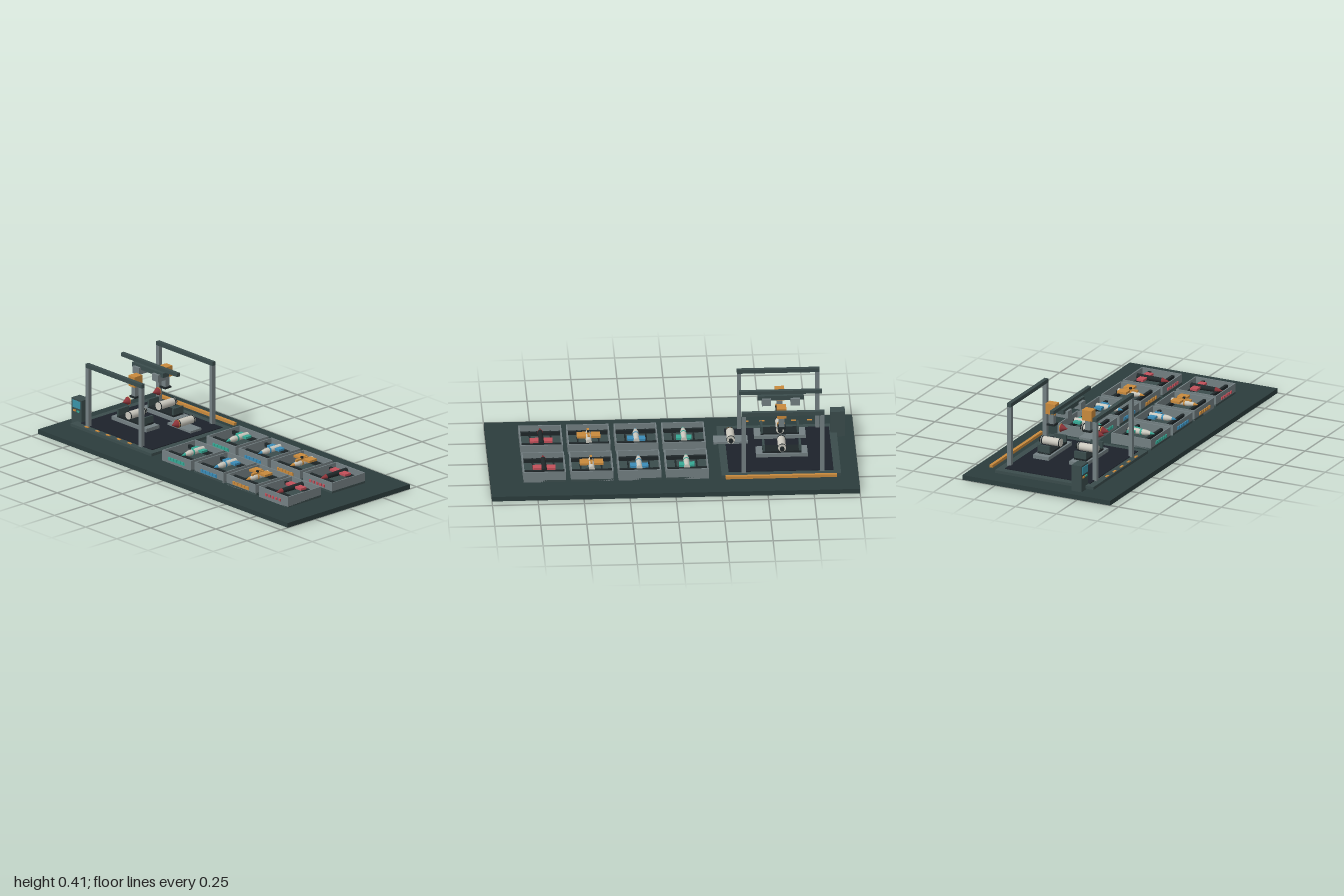
import * as THREE from 'three';

const mat = (color) => new THREE.MeshStandardMaterial({ color });
const M = {
  base: mat(0x2c3d3d), frame: mat(0x3a4c4c), floor: mat(0x1d222b), dark: mat(0x1f2729),
  grey: mat(0x737f82), ivory: mat(0xcac8be), orange: mat(0xc98a3c), red: mat(0x8c3338),
  teal: mat(0x36a894), blue: mat(0x3a8cb8), pink: mat(0xc2505a), screen: mat(0x3a93a8),
};

// Box given by its size and centre
function box(parent, name, m, w, h, d, x, y, z) {
  const b = new THREE.Mesh(new THREE.BoxGeometry(w, h, d), m);
  b.name = name;
  b.position.set(x, y, z);
  parent.add(b);
  return b;
}

// Round part lying along z, from z0 (radius r0) to z1 (radius r1)
function round(parent, name, m, r0, r1, z0, z1, x = 0, y = 0) {
  const g = new THREE.CylinderGeometry(r1, r0, z1 - z0, 20);
  g.rotateX(Math.PI / 2);
  const c = new THREE.Mesh(g, m);
  c.name = name;
  c.position.set(x, y, (z0 + z1) / 2);
  parent.add(c);
  return c;
}

function group(parent, name, x, y, z) {
  const g = new THREE.Group();
  g.name = name;
  g.position.set(x, y, z);
  parent.add(g);
  return g;
}

// Cylinder body with end bands and a small tail cap
function capsuleBody(parent, x, y, z) {
  const g = group(parent, 'cylinderBody', x, y, z);
  round(g, 'body', M.ivory, 0.022, 0.022, -0.062, 0.054);
  round(g, 'frontBand', M.dark, 0.0235, 0.0235, 0.046, 0.051);
  round(g, 'rearBand', M.dark, 0.0235, 0.0235, -0.058, -0.053);
  round(g, 'tailCap', M.dark, 0.013, 0.011, -0.076, -0.062);
  return g;
}

function noseCone(parent, x, y, z) {
  const g = group(parent, 'noseCone', x, y, z);
  round(g, 'cone', M.red, 0.022, 0.0005, 0.055, 0.094);
  round(g, 'coneRing', M.orange, 0.0225, 0.0225, 0.051, 0.055);
}

// Open parts tray with cross bars, a small tool and a front label
function tray(parent, x, z, color, kind) {
  const g = group(parent, 'partsTray', x, 0.027, z);
  const w = 0.232, d = 0.244, h = 0.06, t = 0.007;
  box(g, 'trayFloor', M.frame, w, 0.012, d, 0, 0.006, 0);
  for (const s of [-1, 1]) {
    box(g, 'traySideWall', M.grey, t, h, d, s * (w - t) / 2, h / 2, 0);
    box(g, 'trayEndWall', M.grey, w - 2 * t, h, t, 0, h / 2, s * (d - t) / 2);
    box(g, 'crossBar', M.dark, w - 2 * t, 0.02, 0.016, 0, 0.036, s * 0.07);
    box(g, 'longRail', M.dark, 0.008, 0.014, d - 2 * t, s * 0.057, 0.022, 0);
  }
  // tool lying in the tray
  const tool = group(g, 'trayTool', 0, 0.05, 0);
  if (kind === 3) {
    round(tool, 'toolBody', M.dark, 0.016, 0.013, -0.09, 0.06);
    round(tool, 'toolTip', M.red, 0.015, 0.0005, 0.06, 0.105);
  } else {
    round(tool, 'toolBody', M.ivory, 0.016, 0.016, -0.075, 0.03);
    round(tool, 'toolNeck', M.ivory, 0.016, 0.009, 0.03, 0.06);
    round(tool, 'toolTip', color, 0.01, 0.001, 0.06, 0.085);
    round(tool, 'toolBand', color, 0.017, 0.017, 0.0, 0.01);
  }
  const wing = [0.028, 0.035, 0.05, 0.048][kind];
  for (const s of [-1, 1])
    box(tool, 'toolWing', color, wing, 0.012, kind === 2 ? 0.056 : 0.042,
      s * (0.014 + wing / 2), kind === 2 ? 0.018 : 0.002, kind === 2 ? -0.024 : -0.045);
  if (kind === 2) {
    box(tool, 'toolSpine', M.orange, 0.012, 0.012, 0.09, 0, 0.018, 0.0);
    box(tool, 'toolKnob', M.dark, 0.012, 0.012, 0.012, 0, 0.027, 0);
  }
  // label strip and indicator dots
  if (kind < 3) box(g, 'labelStrip', color, 0.13, 0.018, 0.004, 0, 0.025, d / 2 + 0.001);
  for (let i = -2; i <= 2; i++)
    box(g, 'labelDot', color, 0.014, 0.014, 0.008, i * 0.027, 0.029, d / 2 + 0.003);
}

export function createModel() {
  const model = new THREE.Group();
  model.name = 'assemblyStation';
  box(model, 'basePlate', M.base, 2, 0.027, 0.9, 0, 0.0135, 0);

  // Work cell floor and frame
  const cx = -0.58;
  const cell = group(model, 'workCell', cx, 0, 0);
  box(cell, 'cellFloor', M.floor, 0.57, 0.016, 0.52, 0, 0.046, 0);
  for (const s of [-1, 1]) {
    box(cell, 'frameSide', M.frame, 0.045, 0.016, 0.6, s * 0.302, 0.042, 0);
    box(cell, 'frameEnd', M.frame, 0.56, 0.016, 0.045, 0, 0.042, s * 0.277);
  }
  box(cell, 'rearOrangeRail', M.orange, 0.605, 0.016, 0.018, 0.002, 0.058, -0.336);
  for (let i = -2; i <= 2; i++)
    box(cell, 'frontMarker', M.orange, 0.027, 0.004, 0.012, -0.01 + i * 0.086, 0.07, 0.311);

  // Gantry portals front and back
  const hx = -0.59;
  for (const s of [-1, 1]) {
    const portal = group(model, 'gantryPortal', hx, 0, s * 0.261);
    box(portal, 'portalBeam', M.frame, 0.45, 0.022, 0.023, 0, 0.401, 0);
    for (const p of [-1, 1])
      box(portal, 'portalPost', M.grey, 0.023, 0.35, 0.023, p * 0.213, 0.215, 0);
  }

  // Central overhead rail with its carriage
  const rail = group(model, 'overheadRail', hx, 0, 0);
  box(rail, 'railBeam', M.frame, 0.45, 0.02, 0.022, 0, 0.401, 0);
  box(rail, 'carriage', M.frame, 0.25, 0.026, 0.044, 0, 0.374, 0);
  for (const p of [-1, 1])
    box(rail, 'carriageBlock', M.grey, 0.05, 0.04, 0.074, p * 0.078, 0.354, 0);

  // Two stations: tool head above, cradle with cylinder below
  for (const s of [-1, 1]) {
    const z = s * 0.111;
    const head = group(model, 'toolHead', hx, 0, z);
    box(head, 'headMotor', M.orange, 0.05, 0.06, 0.058, 0, 0.337, 0);
    box(head, 'headColumn', M.grey, 0.03, 0.058, 0.03, 0, 0.279, 0);
    box(head, 'headPlate', M.dark, 0.045, 0.01, 0.046, 0, 0.245, 0);
    noseCone(model, hx, 0.232, z);

    const cradle = group(model, 'cradle', hx, 0, z);
    box(cradle, 'cradlePlate', M.grey, 0.28, 0.02, 0.096, 0, 0.095, 0);
    box(cradle, 'cradleBed', M.dark, 0.21, 0.011, 0.074, 0, 0.11, 0);
    for (const p of [-1, 1])
      box(cradle, 'cradleJaw', M.frame, 0.012, 0.045, 0.074, p * 0.099, 0.131, 0);
    capsuleBody(model, hx, 0.145, z);
  }

  // Transfer plate carrying a finished piece
  box(model, 'transferPlate', M.grey, 0.187, 0.012, 0.08, -0.317, 0.117, 0);
  capsuleBody(model, -0.317, 0.145, 0);
  noseCone(model, -0.317, 0.145, 0);

  // Control cabinet
  const cab = group(model, 'controlCabinet', -0.91, 0, 0.22);
  box(cab, 'cabinet', M.frame, 0.08, 0.149, 0.06, 0, 0.1015, 0);
  box(cab, 'cabinetScreen', M.screen, 0.062, 0.042, 0.004, 0, 0.146, 0.031);
  for (const p of [-1, 1])
    box(cab, 'cabinetButton', p < 0 ? M.orange : M.teal, 0.02, 0.01, 0.006, p * 0.015, 0.108, 0.031);

  // Two rows of parts trays
  [M.teal, M.blue, M.orange, M.pink].forEach((color, i) => {
    for (const s of [-1, 1]) tray(model, -0.07 + i * 0.2585, s * 0.163, color, i);
  });
  return model;
}
